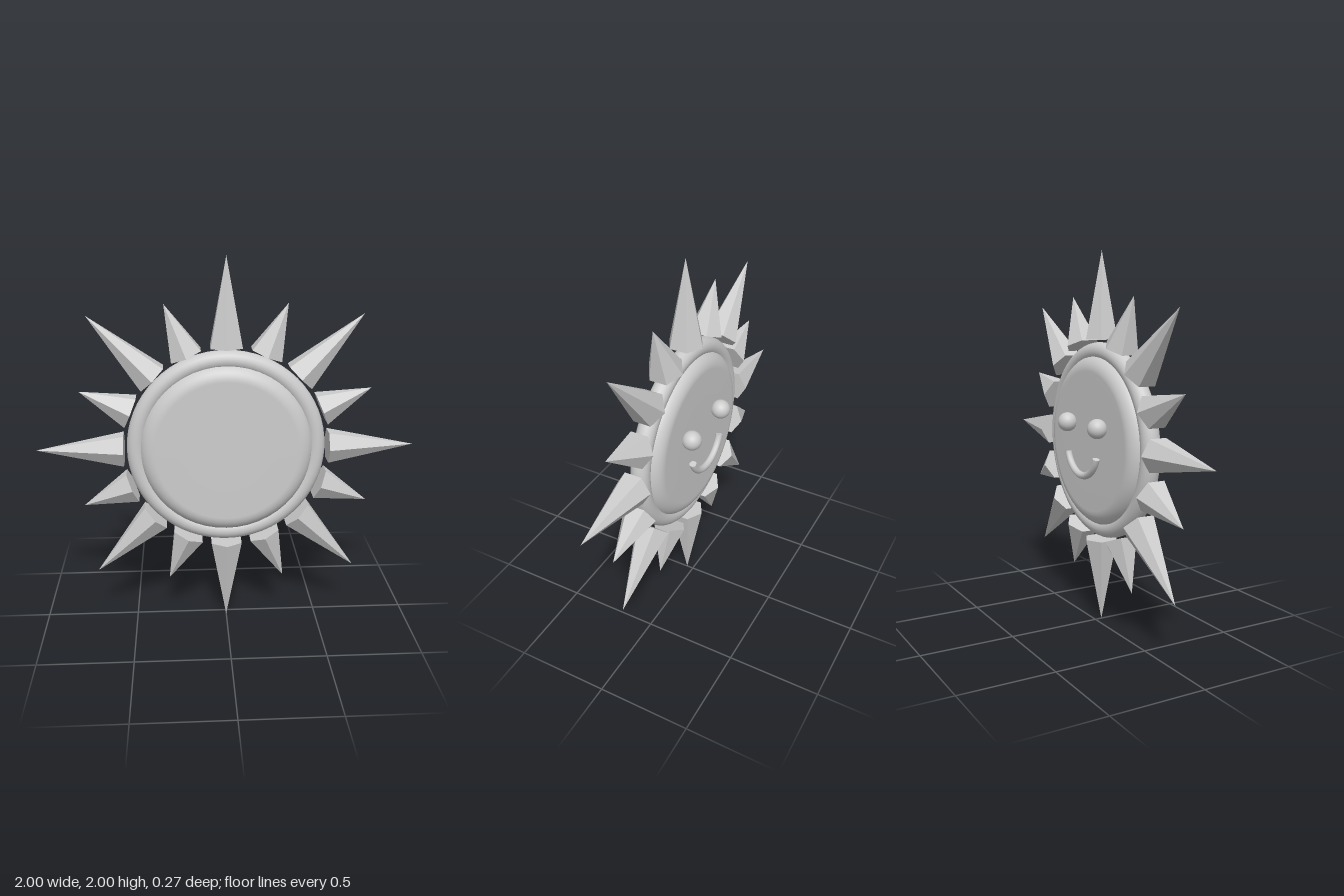
import * as THREE from 'three';

export function createModel() {
  const root = new THREE.Group();
  root.name = 'sun';
  const grey = new THREE.MeshStandardMaterial({ color: 0xcccccc });
  grey.name = 'light grey';
  const greyFlat = grey.clone(); // same colour, faceted for the rays
  greyFlat.flatShading = true;

  const add = (parent, name, geometry, material = grey) => {
    const mesh = new THREE.Mesh(geometry, material);
    mesh.name = name;
    parent.add(mesh);
    return mesh;
  };

  // Body and rays share one centre plane
  const body = new THREE.Group();
  body.name = 'body';
  body.position.set(0, 1, 0.038);
  root.add(body);

  // Disc: flat faces with a fully rounded edge
  const flat = 0.375, half = 0.086;
  const profile = [new THREE.Vector2(0, -half), new THREE.Vector2(flat * 0.6, -half)];
  for (let i = 0; i <= 16; i++) {
    const a = -Math.PI / 2 + (Math.PI * i) / 16;
    profile.push(new THREE.Vector2(flat + half * Math.cos(a), half * Math.sin(a)));
  }
  profile.push(new THREE.Vector2(flat * 0.6, half), new THREE.Vector2(0, half));
  add(body, 'disc', new THREE.LatheGeometry(profile, 48).rotateX(Math.PI / 2));

  // Rim ring
  add(body, 'rim', new THREE.TorusGeometry(0.475, 0.05, 20, 64));

  // Sixteen hexagonal rays, alternating long and short
  const base = 0.54;
  for (let i = 0; i < 16; i++) {
    const tip = i % 2 === 0 ? 1 : 0.825;
    const a = (i * Math.PI) / 8;
    const r = (base + tip) / 2;
    const ray = add(body, i % 2 === 0 ? 'longRay' : 'shortRay',
      new THREE.ConeGeometry(0.095, tip - base, 6), greyFlat);
    ray.position.set(r * Math.cos(a), r * Math.sin(a), 0);
    ray.rotation.z = a - Math.PI / 2;
  }

  // Face on the back side
  const face = new THREE.Group();
  face.name = 'face';
  face.position.z = -0.083;
  root.add(face);

  for (const side of [-1, 1]) {
    const eye = add(face, side > 0 ? 'leftEye' : 'rightEye', new THREE.SphereGeometry(0.052, 24, 16));
    eye.position.set(side * 0.163, 1.09, 0);
  }

  // Smile: arc of a ring with closed ends
  const arc = Math.PI * 0.8, R = 0.16, tube = 0.019;
  const smile = new THREE.Group();
  smile.name = 'smile';
  smile.position.y = 0.98;
  smile.rotation.z = -Math.PI / 2 - arc / 2;
  face.add(smile);
  add(smile, 'smileArc', new THREE.TorusGeometry(R, tube, 12, 32, arc));
  for (const end of [0, 1]) {
    const a = end * arc;
    const cap = add(smile, 'smileEnd', new THREE.CircleGeometry(tube, 12).rotateX(end ? -Math.PI / 2 : Math.PI / 2));
    cap.position.set(R * Math.cos(a), R * Math.sin(a), 0);
    cap.rotation.z = a;
  }
  return root;
}
